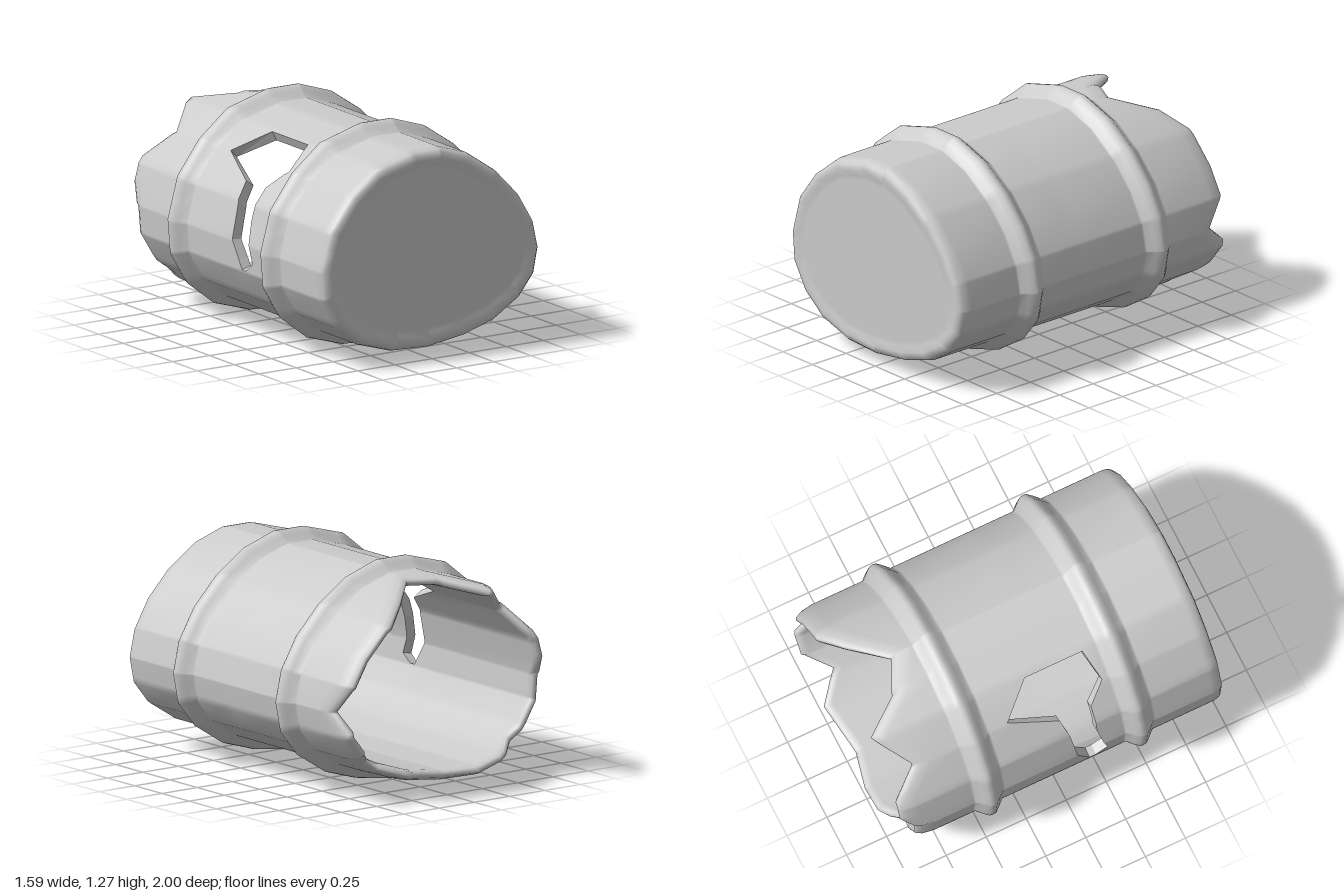
import * as THREE from 'three';

// Cross-section of the dented barrel (x, y), clockwise from the top as seen from the front
const SECTION = [
  [-0.11, 1.21], [0.07, 1.21], [0.27, 1.145], [0.455, 1.02], [0.60, 0.87],
  [0.70, 0.70], [0.735, 0.54], [0.705, 0.39], [0.605, 0.265], [0.43, 0.155],
  [0.23, 0.095], [-0.015, 0.06], [-0.25, 0.07], [-0.465, 0.135], [-0.62, 0.255],
  [-0.72, 0.42], [-0.735, 0.60], [-0.675, 0.82], [-0.54, 1.0], [-0.365, 1.14],
].map(p => new THREE.Vector2(...p));
const N = SECTION.length;

// Torn back edge: position around the section, z
const TORN = [
  [-0.8, -1], [-0.15, -0.79], [0.95, -0.70], [2, -0.9], [2.8, -1], [4.9, -1],
  [5.95, -0.88], [6.75, -1], [7.9, -1], [8.7, -0.86], [9.6, -1], [10.95, -0.95],
  [11.9, -1], [12.7, -1], [13.5, -0.9], [14.25, -0.92], [15.9, -0.92], [16.5, -1],
  [17.2, -1], [18.1, -0.84], [19.2, -1], [19.85, -0.79], [20.95, -0.70],
];
// Front and back edges of the hole in the side
const HOLE_FRONT = [[15.1, 0.2], [15.4, 0.27], [16.6, 0.22], [17.5, 0.225], [18.1, 0.335], [19, 0.29]];
const HOLE_BACK = [[15.1, 0.16], [16, 0.08], [16.9, 0.06], [17.5, 0.03], [18.1, -0.255], [19, -0.07]];
const HOLE_START = 15.1, HOLE_END = 19;
const WALL = 0.06;

function lerpTable(table, u) {
  for (let i = 1; i < table.length; i++) {
    const [u0, z0] = table[i - 1], [u1, z1] = table[i];
    if (u <= u1) return z0 + (z1 - z0) * (u - u0) / (u1 - u0);
  }
  return table[table.length - 1][1];
}

// Mitred inward offsets at the section corners
const INWARD = SECTION.map((p, i) => {
  const edgeNormal = (a, b) => {
    const d = b.clone().sub(a).normalize();
    return new THREE.Vector2(d.y, -d.x);
  };
  const n1 = edgeNormal(SECTION[(i + N - 1) % N], p);
  const n2 = edgeNormal(p, SECTION[(i + 1) % N]);
  return n1.clone().add(n2).divideScalar(1 + n1.dot(n2));
});

// Point on the barrel at section position u, depth z, moved inwards by inset
function place(u, z, inset) {
  const i = Math.floor(u) % N, j = (i + 1) % N, t = u - Math.floor(u);
  const p = SECTION[i].clone().lerp(SECTION[j], t);
  const n = INWARD[i].clone().lerp(INWARD[j], t);
  return [p.x + n.x * inset, p.y + n.y * inset, z];
}

// Raised hoop profile: z, inset
const hoop = z => [[0.1, 0], [0.085, 0], [0.047, -0.035], [0.02, -0.056], [0, -0.06],
  [-0.02, -0.056], [-0.047, -0.035], [-0.085, 0], [-0.1, 0]].map(([dz, s]) => [z + dz, s]);

const inHole = u => u >= HOLE_START && u <= HOLE_END;
const holeZ = u => inHole(u) ? [lerpTable(HOLE_FRONT, u), lerpTable(HOLE_BACK, u)] : [0.15, 0.05];

// Full profile at u: front lid, outside, torn rim, inside, inner lid
const frontRows = [[1, 0.5], [0.99, 0.12], [0.99, 0.09], [1, 0.055], [0.993, 0.025], [0.975, 0.008],
  [0.94, 0], [0.92, 0], ...hoop(0.47)];
const OUTER_HOLE = frontRows.length;
const backHoop = hoop(-0.47);
const INNER_HOLE = OUTER_HOLE + 2 + backHoop.length + 6;
function profile(u) {
  const e = lerpTable(TORN, u), [hi, lo] = holeZ(u);
  return [...frontRows, [hi, 0], [lo, 0], ...backHoop,
    [e + 0.11, 0], [e + 0.04, 0.01], [e + 0.008, 0.025], [e, 0.04], [e + 0.012, 0.058], [e + 0.05, WALL + 0.005],
    [lo, WALL], [hi, WALL], [0.9, WALL], [0.93, 0.09], [0.94, 0.13]];
}

// Columns at every corner of the section, the torn edge and the hole
const columns = [...new Set([
  ...SECTION.map((_, i) => i),
  ...TORN.map(t => t[0]), ...HOLE_FRONT.map(t => t[0]), ...HOLE_BACK.map(t => t[0]),
])].filter(u => u >= 0 && u < N).sort((a, b) => a - b);

function makeGeometry(positions, index) {
  const g = new THREE.BufferGeometry();
  g.setAttribute('position', new THREE.Float32BufferAttribute(positions, 3));
  if (index) g.setIndex(index);
  g.computeVertexNormals();
  return g;
}

function shellGeometry() {
  const pos = [], idx = [], C = columns.length;
  const rows = profile(0).length;
  columns.forEach(u => profile(u).forEach(([z, s], r) => {
    // the first row is shrunk towards the middle of the lid
    const p = r === 0 ? place(u, 0.99, 0.12) : place(u, z, s);
    if (r === 0) { p[0] *= 0.5; p[1] = 0.62 + (p[1] - 0.62) * 0.5; }
    pos.push(...p);
  }));
  const frontCentre = pos.length / 3, backCentre = frontCentre + 1;
  pos.push(0, 0.62, 0.99, 0, 0.62, 0.94);
  for (let c = 0; c < C; c++) {
    const d = (c + 1) % C, open = inHole(columns[c]) && inHole(columns[d]);
    const at = (k, r) => k * rows + r;
    idx.push(frontCentre, at(d, 0), at(c, 0));
    for (let r = 0; r < rows - 1; r++) {
      if (open && (r === OUTER_HOLE || r === INNER_HOLE)) continue;
      idx.push(at(c, r), at(d, r), at(c, r + 1), at(d, r), at(d, r + 1), at(c, r + 1));
    }
    idx.push(at(c, rows - 1), at(d, rows - 1), backCentre);
  }
  return makeGeometry(pos, idx);
}

// Thickness of the wall around the hole
function holeEdgeGeometry() {
  const us = columns.filter(inHole);
  const loop = [
    ...us.map(u => [u, holeZ(u)[0]]),
    ...us.slice().reverse().map(u => [u, holeZ(u)[1]]),
  ];
  const pos = [];
  loop.forEach(([u, z], i) => {
    const [v, w] = loop[(i + 1) % loop.length];
    const a = place(u, z, 0), b = place(v, w, 0), c = place(v, w, WALL), d = place(u, z, WALL);
    pos.push(...a, ...b, ...c, ...a, ...c, ...d);
  });
  return makeGeometry(pos);
}

export function createModel() {
  const group = new THREE.Group();
  group.name = 'brokenBarrel';
  const material = new THREE.MeshStandardMaterial({ color: 0xcccccc, side: THREE.DoubleSide });
  const add = (name, geometry) => {
    const mesh = new THREE.Mesh(geometry, material);
    mesh.name = name;
    group.add(mesh);
  };
  add('barrelShell', shellGeometry());
  add('holeEdge', holeEdgeGeometry());
  return group;
}
